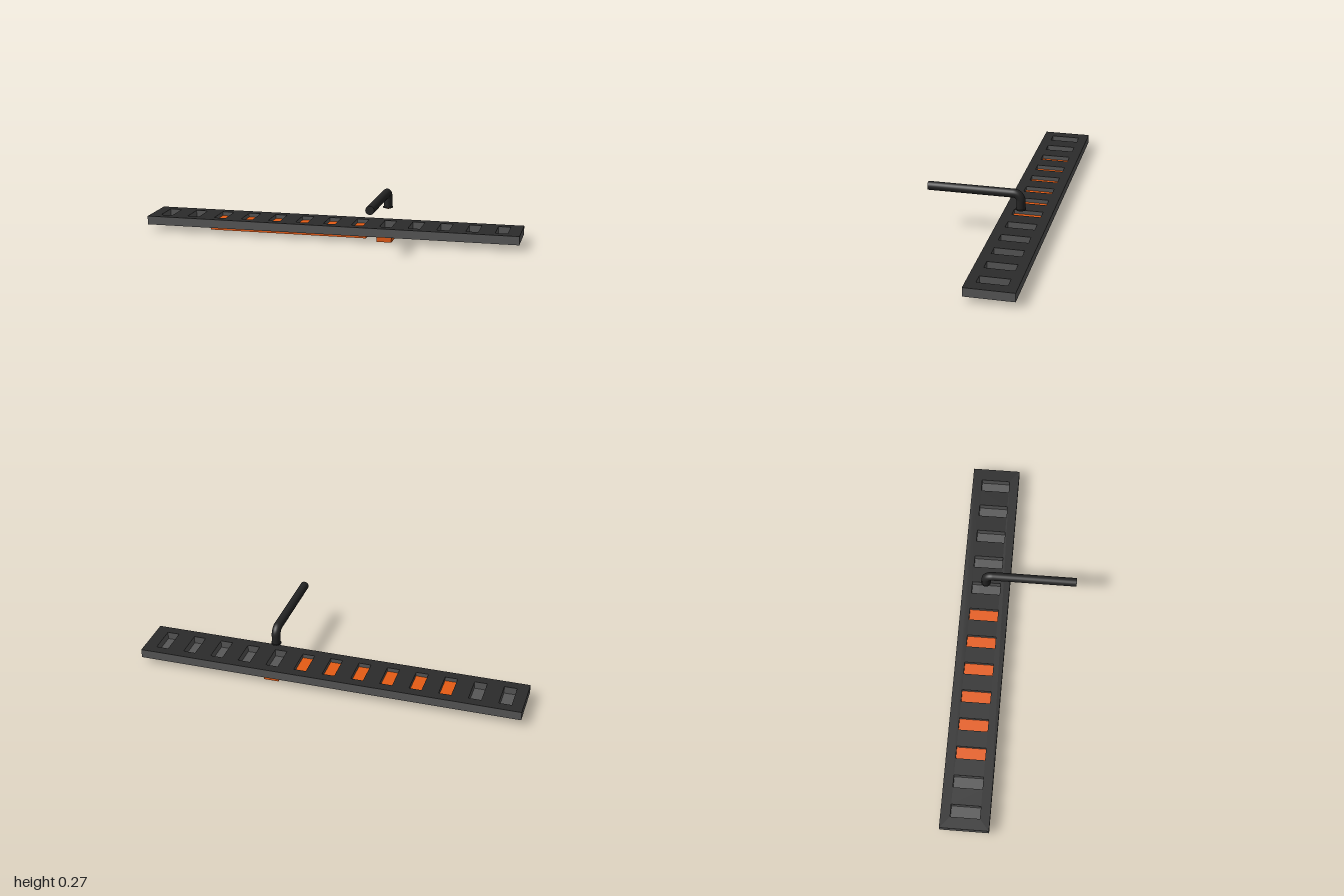
import * as THREE from 'three';

const paint = (color) => {
  const m = new THREE.MeshStandardMaterial();
  m.color.set(color);
  return m;
};

export function createModel() {
  const group = new THREE.Group();
  const grey = paint(0x585858), dark = paint(0x2b2b2b), black = paint(0x242424), orange = paint(0xe65c14);

  const add = (name, geometry, material, x = 0, y = 0, z = 0) => {
    const mesh = new THREE.Mesh(geometry, material);
    mesh.name = name;
    mesh.position.set(x, y, z);
    group.add(mesh);
    return mesh;
  };
  // box given by its limits
  const block = (name, material, x0, x1, y0, y1, z0, z1) =>
    add(name, new THREE.BoxGeometry(x1 - x0, y1 - y0, z1 - z0), material,
      (x0 + x1) / 2, (y0 + y1) / 2, (z0 + z1) / 2);

  // strip with a row of thirteen rectangular pockets
  const zBack = -0.3, zFront = -0.05, zMid = -0.175;
  const pocketXs = Array.from({ length: 13 }, (_, i) => (i - 6) * 0.151 - 0.003);
  const rectangle = (path, x, z, w, d) => path
    .moveTo(x - w / 2, z - d / 2).lineTo(x + w / 2, z - d / 2)
    .lineTo(x + w / 2, z + d / 2).lineTo(x - w / 2, z + d / 2).closePath();
  const perforated = (depth) => {
    const shape = new THREE.Shape();
    rectangle(shape, 0, -zMid, 2, zFront - zBack);
    for (const x of pocketXs) {
      const hole = new THREE.Path();
      rectangle(hole, x, -zMid, 0.064, 0.15);
      shape.holes.push(hole);
    }
    return new THREE.ExtrudeGeometry(shape, { depth, bevelEnabled: false }).rotateX(-Math.PI / 2);
  };
  block('stripFloor', grey, -1, 1, 0.031, 0.038, zBack, zFront);
  add('stripBody', perforated(0.037), grey, 0, 0.038);
  add('stripCover', perforated(0.0015), dark, 0, 0.075);

  // filled pockets
  for (const x of pocketXs.slice(2, 8))
    block('pocketFilling', orange, x - 0.032, x + 0.032, 0.038, 0.055, -0.25, -0.1);

  // heating plates beneath the strip
  block('longPlate', orange, -0.65, 0.2, 0.015, 0.031, -0.27, -0.077);
  block('shortPlate', orange, 0.258, 0.335, 0, 0.031, -0.27, -0.077);

  // bent feed pipe
  const px = 0.298, pz = -0.173, py = 0.25, r = 0.0225, bend = 0.037;
  const path = new THREE.CurvePath();
  const a = new THREE.Vector3(px, py, 0.3), b = new THREE.Vector3(px, py, pz + bend);
  const c = new THREE.Vector3(px, py - bend, pz), d = new THREE.Vector3(px, 0.168, pz);
  const k = bend * 0.448;
  path.add(new THREE.LineCurve3(a, b));
  path.add(new THREE.CubicBezierCurve3(b, new THREE.Vector3(px, py, pz + k),
    new THREE.Vector3(px, py - k, pz), c));
  path.add(new THREE.LineCurve3(c, d));
  add('feedPipe', new THREE.TubeGeometry(path, 120, r, 24), black);
  add('pipeEnd', new THREE.CircleGeometry(r, 24), black, px, py, 0.3);

  // nozzle collar and tip
  add('nozzleCollar', new THREE.CylinderGeometry(0.026, 0.026, 0.005, 24), black, px, 0.1685, pz);
  add('nozzleFace', new THREE.CylinderGeometry(0.018, 0.018, 0.003, 24), black, px, 0.165, pz);
  add('nozzleTip', new THREE.CylinderGeometry(0.009, 0.009, 0.004, 20), orange, px, 0.162, pz);
  return group;
}
